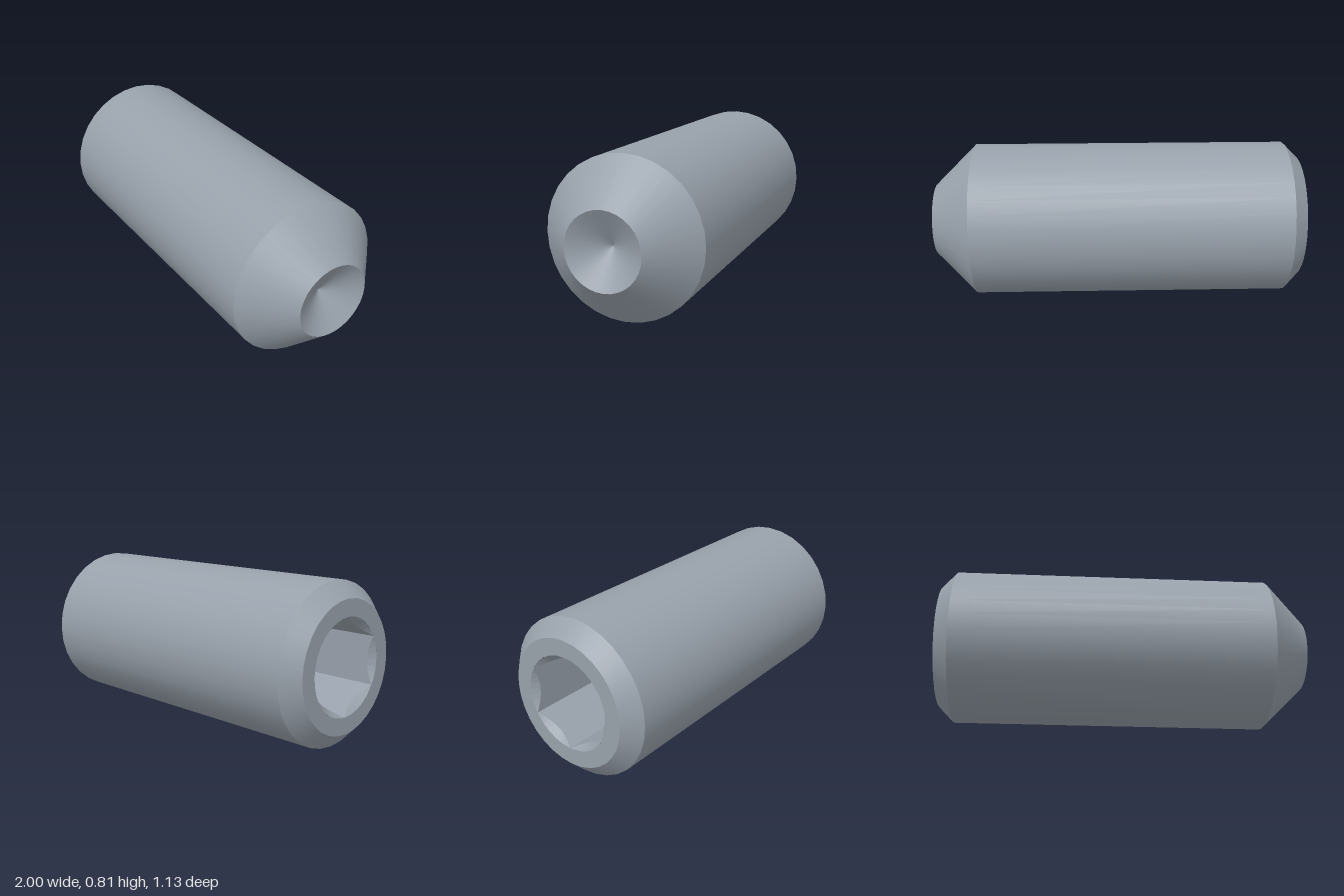
import * as THREE from 'three';

const SEG = 32;
const BACK = -0.949, TIP = 0.984;   // ends along the screw axis
const MOUTH = 0.24;                 // socket mouth radius = hexagon corner radius
const FLOOR = BACK + 0.5;           // bottom of the socket

// Hexagon socket: countersunk mouth, six flat walls and a floor
function socketGeometry() {
  const pos = [];
  const apothem = MOUTH * Math.cos(Math.PI / 6);
  const steps = 8, n = 6 * steps;
  const point = (r, a, y) => [r * Math.cos(a), y, r * Math.sin(a)];
  const quad = (a, b, c, d) => pos.push(...a, ...b, ...c, ...a, ...c, ...d);
  const rings = (i) => {
    const a = (i / n) * Math.PI * 2;
    const fromMid = ((i % steps) / steps - 0.5) * (Math.PI / 3);
    const r = apothem / Math.cos(fromMid);
    return [point(MOUTH, a, BACK), point(r, a, BACK + MOUTH - r), point(r, a, FLOOR)];
  };
  for (let i = 0; i < n; i++) {
    const p = rings(i), q = rings(i + 1);
    quad(p[0], q[0], q[1], p[1]);               // countersink
    quad(p[1], q[1], q[2], p[2]);               // wall
    pos.push(0, FLOOR, 0, ...p[2], ...q[2]);    // floor
  }
  const g = new THREE.BufferGeometry();
  g.setAttribute('position', new THREE.Float32BufferAttribute(pos, 3));
  g.computeVertexNormals();
  return g;
}

export function createModel() {
  const steel = new THREE.MeshStandardMaterial({ color: 0x98a1ab });
  steel.name = 'steel';

  const model = new THREE.Group();
  model.name = 'setScrew';
  const screw = new THREE.Group();
  screw.name = 'screw';
  model.add(screw);

  const add = (name, geometry) => {
    const mesh = new THREE.Mesh(geometry, steel);
    mesh.name = name;
    screw.add(mesh);
  };

  // Turned surfaces, each its own lathe so the edges between them stay crisp
  const profile = [
    ['socketRim', MOUTH, BACK],
    ['backChamfer', 0.325, BACK],
    ['shank', 0.403, -0.871],
    ['tipCone', 0.403, 0.768],
    ['tipRecess', 0.19, TIP],
    ['apex', 0, TIP - 0.11],
  ];
  for (let i = 0; i < profile.length - 1; i++) {
    const [name, r0, y0] = profile[i];
    const [, r1, y1] = profile[i + 1];
    add(name, new THREE.LatheGeometry(
      [new THREE.Vector2(r0, y0), new THREE.Vector2(r1, y1)], SEG));
  }
  add('hexSocket', socketGeometry());

  // Lay the screw down, turned 12 degrees towards the front
  screw.rotation.set(0, -Math.PI / 15, -Math.PI / 2);
  screw.position.set(-0.002, 0.403, 0.011);
  return model;
}
